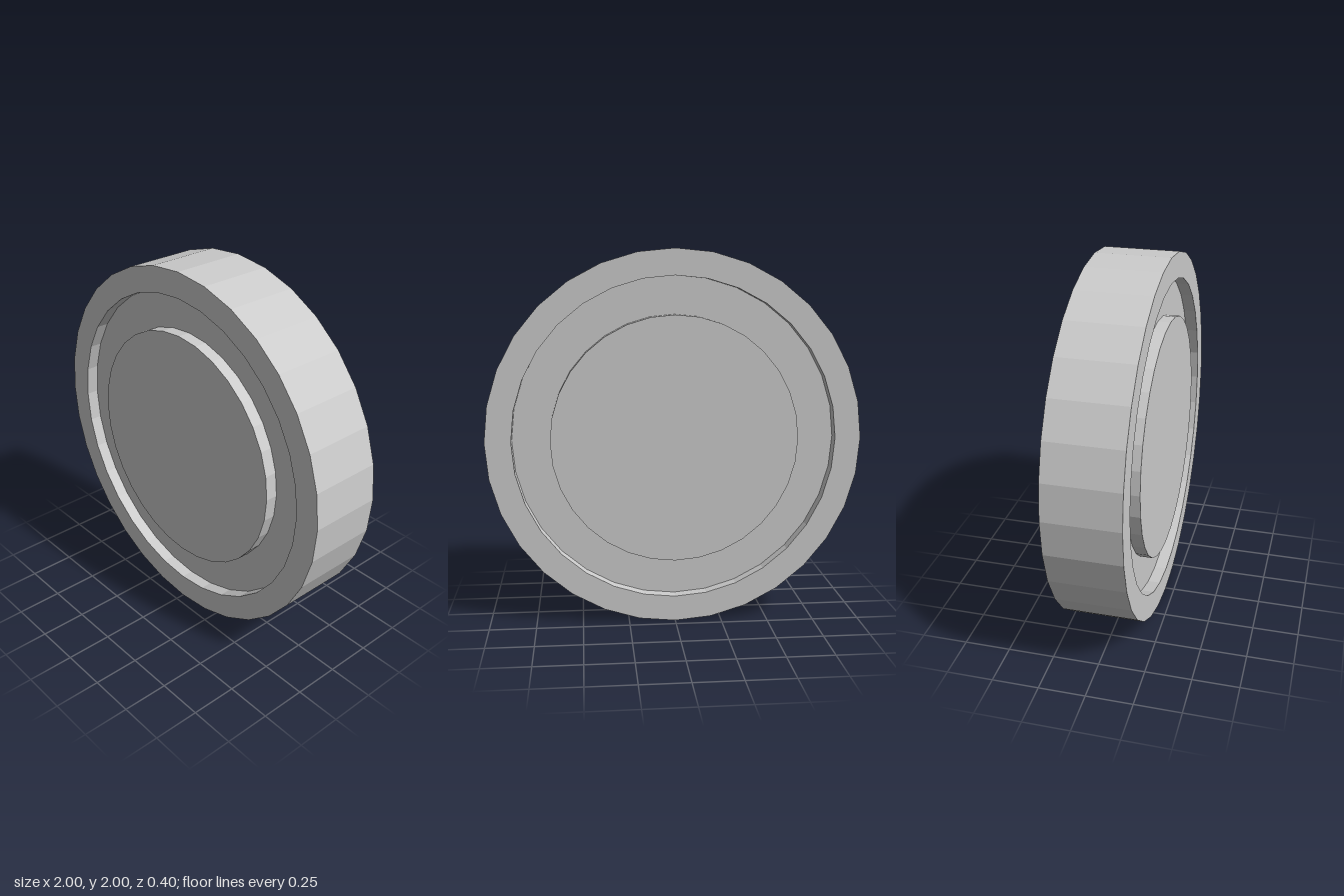
import * as THREE from 'three';

export function createModel() {
  const group = new THREE.Group();
  const material = new THREE.MeshStandardMaterial({ color: 0xcccccc, flatShading: true });

  const half = 0.2;    // half the disc thickness
  const floor = 0.133; // groove floor height from the mid plane
  const hub = 0.66, grooveOuter = 0.862, rim = 1;

  // Half section from the axis to the rim, with a ring groove between hub and rim
  const face = [[0, half], [hub, half], [hub, floor], [grooveOuter, floor], [grooveOuter, half], [rim, half]];
  const back = face.map(([r, h]) => new THREE.Vector2(r, -h));
  const front = face.map(([r, h]) => new THREE.Vector2(r, h)).reverse();

  // Revolve, then stand the disc up facing +z
  const geometry = new THREE.LatheGeometry([...back, ...front], 32);
  geometry.rotateX(Math.PI / 2);

  const disc = new THREE.Mesh(geometry, material);
  disc.name = 'groovedDisc';
  disc.position.y = rim;
  group.add(disc);
  return group;
}
